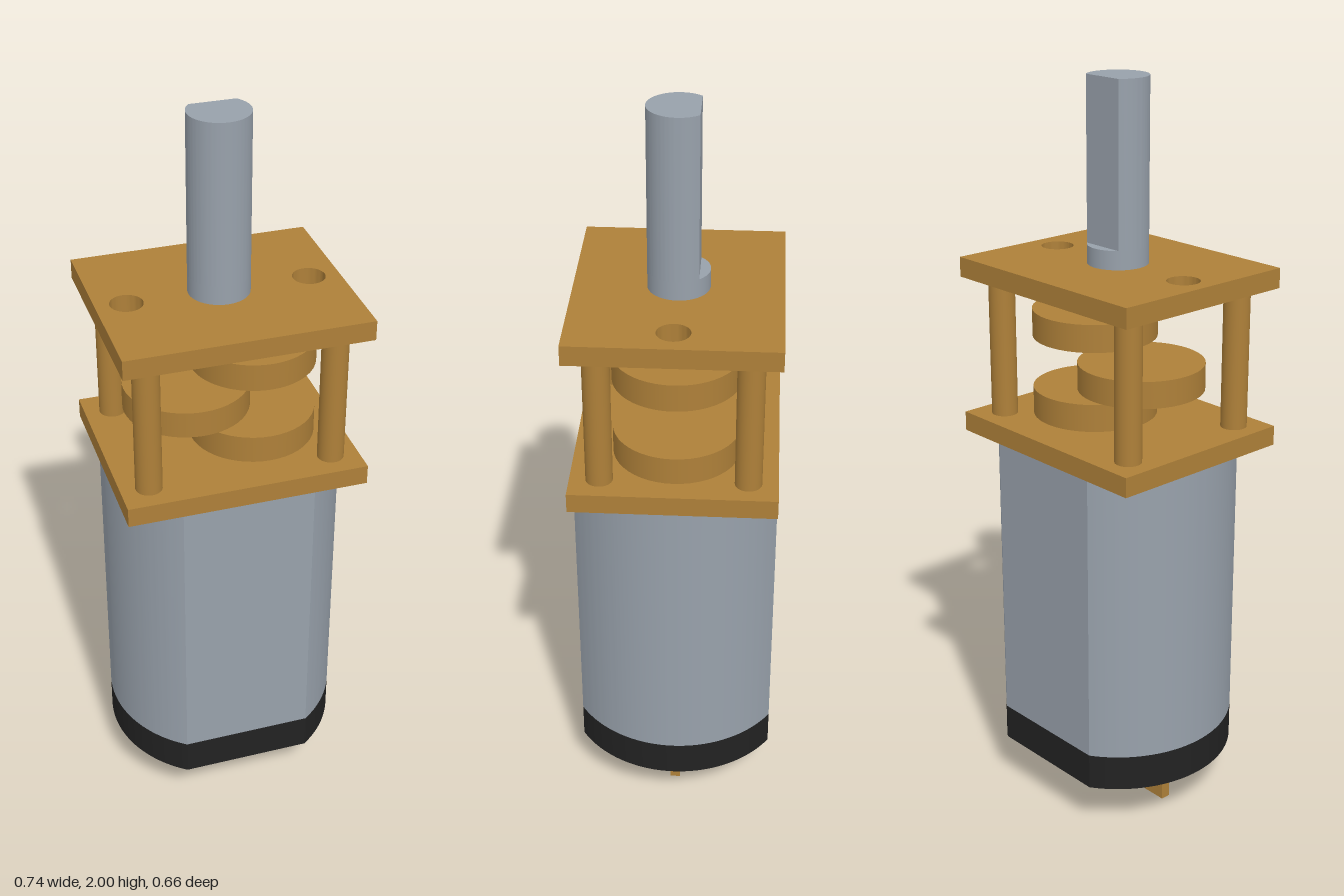
import * as THREE from 'three';
import { toCreasedNormals } from 'three/addons/utils/BufferGeometryUtils.js';

export function createModel() {
  const steel = new THREE.MeshStandardMaterial({ color: 0x98a1ab });
  steel.name = 'steel';
  const brass = new THREE.MeshStandardMaterial({ color: 0xae8039 });
  brass.name = 'brass';
  const plastic = new THREE.MeshStandardMaterial({ color: 0x222222 });
  plastic.name = 'blackPlastic';

  const model = new THREE.Group();
  model.name = 'gearMotor';
  // The whole motor is turned slightly about its axis
  const motor = new THREE.Group();
  motor.name = 'motor';
  motor.rotation.y = -0.21;
  model.add(motor);

  function add(name, geometry, material, x = 0, y = 0, z = 0) {
    const mesh = new THREE.Mesh(geometry, material);
    mesh.name = name;
    mesh.position.set(x, y, z);
    motor.add(mesh);
    return mesh;
  }

  // Upright prism from a plan outline, with sharp edges kept
  function prism(shape, y0, y1) {
    const g = new THREE.ExtrudeGeometry(shape, { depth: y1 - y0, bevelEnabled: false, curveSegments: 32 });
    g.rotateX(-Math.PI / 2);
    g.translate(0, y0, 0);
    return toCreasedNormals(g, 0.4);
  }

  function disc(name, material, r, y0, y1, x = 0, z = 0) {
    add(name, new THREE.CylinderGeometry(r, r, y1 - y0, 48), material, x, (y0 + y1) / 2, z);
  }

  // Can and end cap: a circle cut by two parallel flats
  const R = 0.32;
  const a = Math.asin(0.267 / R);
  const can = new THREE.Shape();
  can.absarc(0, 0, R, -a, a, false);
  can.absarc(0, 0, R, Math.PI - a, Math.PI + a, false);
  can.closePath();
  add('endCap', prism(can, 0.14, 0.24), plastic);
  add('motorCan', prism(can, 0.24, 1.04), steel);

  // Gearbox plates
  function plateShape() {
    const w = 0.32, d = 0.267;
    const s = new THREE.Shape();
    s.moveTo(-w, -d);
    s.lineTo(w, -d);
    s.lineTo(w, d);
    s.lineTo(-w, d);
    s.closePath();
    return s;
  }
  add('lowerPlate', prism(plateShape(), 1.04, 1.093), brass);
  const top = plateShape();
  for (const side of [-1, 1]) {
    const hole = new THREE.Path();
    hole.absarc(side * 0.24, 0, 0.043, 0, Math.PI * 2, true);
    top.holes.push(hole);
  }
  add('upperPlate', prism(top, 1.47, 1.523), brass);

  // Four pillars and two terminals
  for (const sx of [-1, 1]) {
    for (const sz of [-1, 1]) disc('pillar', brass, 0.035, 1.09, 1.475, sx * 0.245, sz * 0.19);
    add('terminal', new THREE.BoxGeometry(0.08, 0.15, 0.027), brass, sx * 0.16, 0.075, 0);
  }

  // Staggered gears
  disc('lowerGear', brass, 0.167, 1.09, 1.168, 0.09);
  disc('middleGear', brass, 0.167, 1.205, 1.277, -0.09);
  disc('upperGear', brass, 0.167, 1.31, 1.385, 0.09);

  // Output shaft: round base, then a D section flattened at the back
  disc('shaftBase', steel, 0.08, 1.475, 1.573);
  const b = Math.asin(0.053 / 0.08);
  const dee = new THREE.Shape();
  dee.absarc(0, 0, 0.08, Math.PI - b, Math.PI * 2 + b, false);
  dee.closePath();
  add('shaft', prism(dee, 1.573, 2), steel);

  return model;
}
